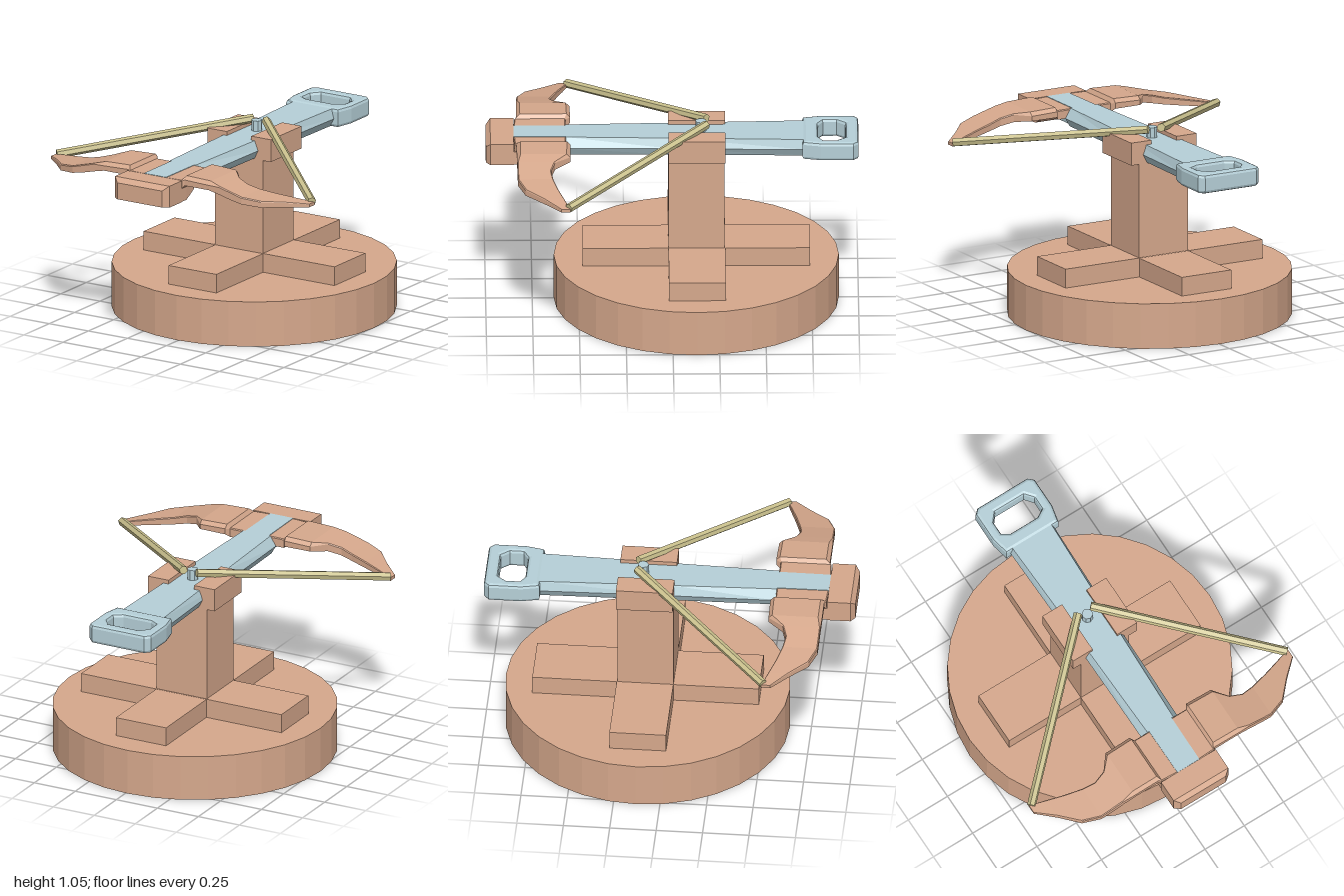
import * as THREE from 'three';

const mat = (color) => new THREE.MeshStandardMaterial({ color, flatShading: true });
const wood = mat(0xd6a88c), metal = mat(0xb6d0d8), cord = mat(0xcbc28e);

// Skin a list of rings (each counterclockwise seen from the end) and cap both ends.
function loft(rings) {
  const pos = [];
  const tri = (a, b, c) => pos.push(...a, ...b, ...c);
  const n = rings[0].length;
  for (let i = 0; i < rings.length - 1; i++) {
    for (let j = 0; j < n; j++) {
      const k = (j + 1) % n, p = rings[i], q = rings[i + 1];
      tri(p[j], p[k], q[k]);
      tri(p[j], q[k], q[j]);
    }
  }
  const first = rings[0], last = rings[rings.length - 1];
  for (let j = 1; j < n - 1; j++) {
    tri(first[0], first[j + 1], first[j]);
    tri(last[0], last[j], last[j + 1]);
  }
  const g = new THREE.BufferGeometry();
  g.setAttribute('position', new THREE.Float32BufferAttribute(pos, 3));
  g.computeVertexNormals();
  return g;
}

export function createModel() {
  const model = new THREE.Group();
  const body = new THREE.Group();
  body.name = 'mountedCrossbow';
  body.position.x = -0.01;
  model.add(body);

  const add = (name, geometry, material) => {
    const mesh = new THREE.Mesh(geometry, material);
    mesh.name = name;
    body.add(mesh);
    return mesh;
  };
  const box = (name, x0, x1, y0, y1, z0, z1) =>
    add(name, new THREE.BoxGeometry(x1 - x0, y1 - y0, z1 - z0), wood)
      .position.set((x0 + x1) / 2, (y0 + y1) / 2, (z0 + z1) / 2);

  // Round base, crossed feet and post
  add('base', new THREE.CylinderGeometry(0.765, 0.765, 0.25, 32), wood).position.set(0, 0.125, -0.13);
  box('footAcross', -0.61, 0.61, 0.25, 0.355, -0.285, 0.02);
  box('footAlong', -0.153, 0.153, 0.25, 0.354, -0.74, 0.48);
  box('post', -0.153, 0.153, 0.25, 0.9, -0.28, 0.02);
  box('leftCheek', 0.078, 0.203, 0.875, 1, -0.285, 0.02);
  box('rightCheek', -0.203, -0.078, 0.875, 1, -0.285, 0.02);

  // Tapered stock: [z, top half width, side half width, bottom half width]
  const stock = [
    [-0.72, 0.125, 0.14, 0.115], [0, 0.1, 0.122, 0.1], [0.57, 0.082, 0.115, 0.09],
    [0.571, 0.072, 0.074, 0.07], [0.85, 0.07, 0.072, 0.068],
  ].map(([z, t, s, b]) => [
    [-b, 0.88, z], [b, 0.88, z], [s, 0.925, z], [t, 0.978, z],
    [-t, 0.978, z], [-s, 0.925, z],
  ]);
  add('stock', loft(stock), metal);

  // Grip frame with an open, rounded hole
  const bevel = 0.018;
  const frame = new THREE.Shape();
  const outline = [
    [-0.152, 0.718], [0.152, 0.718], [0.17, 0.8], [0.17, 0.965],
    [0.152, 0.982], [-0.152, 0.982], [-0.17, 0.965], [-0.17, 0.8],
  ];
  frame.setFromPoints(outline.map(([x, y]) => new THREE.Vector2(x, y)));
  const hole = new THREE.Path();
  const opening = [
    [-0.09, 0.765], [-0.148, 0.8], [-0.148, 0.89], [-0.1, 0.948],
    [0.1, 0.948], [0.148, 0.89], [0.148, 0.8], [0.09, 0.765],
  ];
  hole.setFromPoints(opening.map(([x, y]) => new THREE.Vector2(x, y)));
  frame.holes.push(hole);
  const grip = new THREE.ExtrudeGeometry(frame, {
    depth: 0.07, bevelEnabled: true, bevelSize: bevel, bevelThickness: bevel, bevelSegments: 2,
  });
  grip.rotateX(-Math.PI / 2);
  add('grip', grip, metal).position.y = 0.895;

  // Nose block joining the two limbs: [z, half width, bottom, top]
  const nose = [
    [0.72, 0.165, 0.895, 0.93], [0.8, 0.17, 0.856, 0.93], [0.849, 0.17, 0.856, 0.93],
    [0.85, 0.174, 0.856, 0.976], [0.975, 0.174, 0.856, 0.976], [1, 0.142, 0.858, 0.95],
  ].map(([z, w, b, t]) => [[-w, b, z], [w, b, z], [w, t, z], [-w, t, z]]);
  add('noseBlock', loft(nose), wood);

  // Bow limbs: [x, back z, front z, bottom, top, edge chamfer]
  const limb = [
    [0.07, 0.57, 0.85, 0.925, 0.975, 0.005], [0.165, 0.57, 0.845, 0.925, 0.975, 0.005],
    [0.18, 0.545, 0.835, 0.945, 0.997, 0.02], [0.335, 0.548, 0.835, 0.945, 0.992, 0.02],
    [0.4, 0.63, 0.833, 0.93, 0.975, 0.005], [0.47, 0.652, 0.832, 0.912, 0.956, 0.005],
    [0.54, 0.64, 0.83, 0.898, 0.937, 0.005], [0.64, 0.612, 0.79, 0.885, 0.92, 0.005],
    [0.73, 0.582, 0.69, 0.876, 0.905, 0.004], [0.825, 0.55, 0.6, 0.87, 0.888, 0.002],
  ];
  const tip = new THREE.Vector3(), end = new THREE.Vector3();
  for (const [side, label] of [[1, 'left'], [-1, 'right']]) {
    const rings = limb.map(([x, z0, z1, b, t, c]) => [
      [b, z0], [t - c, z0], [t, z0 + c], [t, z1 - c], [t - c, z1], [b, z1],
    ].map(([y, z]) => [side * x, y, z]));
    if (side < 0) rings.reverse();
    add(label + 'Limb', loft(rings), wood);

    // Drawn string half from limb tip to the catch
    tip.set(side * 0.815, 0.89, 0.56);
    end.set(side * 0.04, 1.03, -0.185);
    const string = add(label + 'String', new THREE.CylinderGeometry(0.024, 0.024, tip.distanceTo(end), 6), cord);
    string.position.copy(tip).add(end).multiplyScalar(0.5);
    string.quaternion.setFromUnitVectors(new THREE.Vector3(0, 1, 0), end.clone().sub(tip).normalize());
  }

  // Catch holding the string
  add('catch', new THREE.CylinderGeometry(0.03, 0.03, 0.07, 8), metal).position.set(0, 1, -0.155);

  return model;
}
